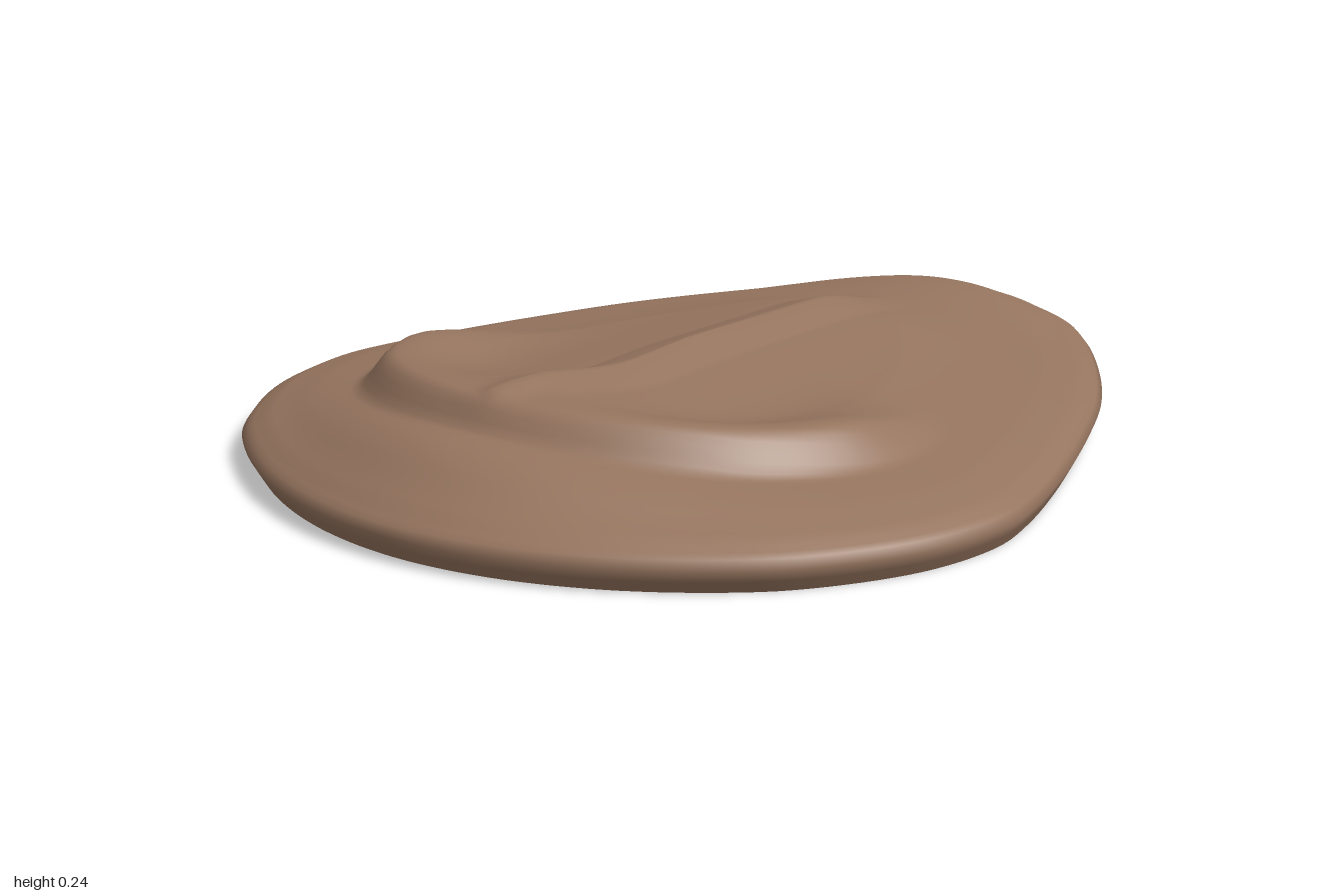
import * as THREE from 'three';

const SEG = 192, CZ = 0.15;
const step = THREE.MathUtils.smoothstep;
const fall = (a, b, v) => 1 - step(v, a, b);

// Half outline of the egg shape, front to back, as [x, z]
const half = [[0, 0.995], [0.2, 0.97], [0.39, 0.9], [0.55, 0.8], [0.66, 0.7], [0.78, 0.51], [0.822, 0.33],
  [0.808, 0.2], [0.757, 0], [0.69, -0.2], [0.61, -0.4], [0.5, -0.6], [0.36, -0.8], [0.26, -0.9], [0.11, -0.985], [0, -1]];
const mirrored = half.slice(1, -1).reverse().map(([x, z]) => [-x, z]);
const outline = new THREE.CatmullRomCurve3(
  [...half, ...mirrored].map(([x, z]) => new THREE.Vector3(x, 0, z)), true).getSpacedPoints(SEG).slice(0, SEG);

// Height of the plain dome by fraction of the way to the edge
const dome = [[0, 0.15], [0.5, 0.135], [0.69, 0.115], [0.85, 0.097], [0.94, 0.08], [0.985, 0.062], [1, 0.045]];
function domeHeight(t) {
  let i = 0;
  while (i < dome.length - 2 && t > dome[i + 1][0]) i++;
  const [a, b] = [dome[i], dome[i + 1]];
  return THREE.MathUtils.mapLinear(t, a[0], b[0], a[1], b[1]);
}

function topHeight(x, z, t) {
  let y = domeHeight(t);
  // swollen front lip and back tip
  y += 0.06 * Math.exp(-((x / 0.45) ** 2)) * step(z, 0.3, 0.72) * fall(0.78, 1, t);
  y += 0.036 * Math.exp(-((x / 0.3) ** 2)) * fall(-0.75, -0.4, z) * fall(0.8, 1, t);
  // distance outside the raised crescent
  const d = (Math.hypot(x / 0.52, (z - 0.28) / 0.425) - 1) * 0.45;
  const inside = z > 0.2 ? fall(0, 0.07, d) : 1;
  // creased centre ridge
  const ridge = 0.6 * Math.exp(-((x / 0.25) ** 2)) + 0.4 * Math.max(0, 1 - Math.abs(x) / 0.09);
  y += 0.056 * step(z, -0.62, -0.28) * ridge * inside;
  // crescent rim: gentle inside, steep outside, fading at its ends
  const rim = (d < 0 ? Math.exp(-((d / 0.11) ** 2)) : fall(0, 0.07, d)) * step(z, 0.02, 0.4);
  const crest = 0.222 - 0.16 * x * x;
  return y + Math.max(0, crest - y) * rim;
}

// Joins rings of points, starting from a shared centre point
function ringSurface(rings, centre) {
  const pos = [...centre], index = [];
  for (const ring of rings) for (const p of ring) pos.push(...p);
  for (let j = 0; j < SEG; j++) {
    const k = (j + 1) % SEG;
    index.push(0, 1 + j, 1 + k);
    for (let i = 0; i < rings.length - 1; i++) {
      const a = 1 + i * SEG, b = a + SEG;
      index.push(a + j, b + j, b + k, a + j, b + k, a + k);
    }
  }
  const g = new THREE.BufferGeometry();
  g.setAttribute('position', new THREE.Float32BufferAttribute(pos, 3));
  g.setIndex(index);
  g.computeVertexNormals();
  return g;
}

const ringAt = (t, height) => outline.map((p) => {
  const x = p.x * t, z = CZ + (p.z - CZ) * t;
  return [x, height(x, z, t), z];
});

export function createModel() {
  const group = new THREE.Group();
  const brown = new THREE.MeshStandardMaterial({ color: 0x96755f });
  brown.name = 'brown';

  // sculpted top with rounded edge tucking under to the base
  const rings = [];
  for (let i = 1; i <= 70; i++) rings.push(ringAt(i / 70, topHeight));
  rings.push(ringAt(0.985, () => 0.022), ringAt(0.97, () => 0));
  const body = new THREE.Mesh(ringSurface(rings, [0, topHeight(0, CZ, 0), CZ]), brown);
  body.name = 'shellTop';

  // flat underside, ring order reversed so it faces down
  const under = ringAt(0.97, () => 0).reverse();
  const base = new THREE.Mesh(ringSurface([under], [0, 0, CZ]), brown);
  base.name = 'underside';

  group.add(body, base);
  return group;
}
